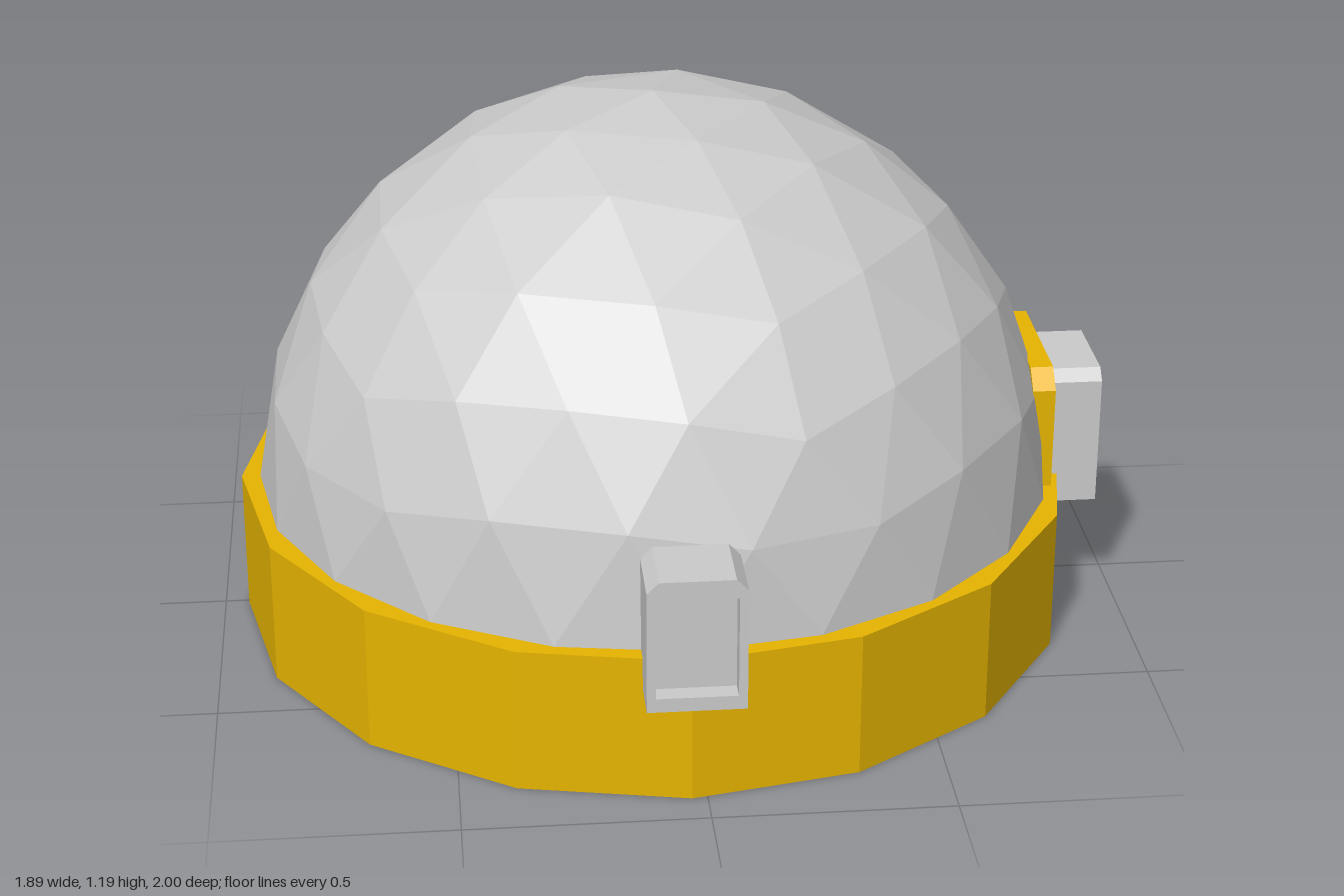
import * as THREE from 'three';

const grey = new THREE.MeshStandardMaterial({ color: 0xcccccc, flatShading: true });
const yellow = new THREE.MeshStandardMaterial({ color: 0xe6b400, flatShading: true, side: THREE.DoubleSide });
const CX = -0.032, CZ = 0.008, R = 0.875, RIM = 0.316;

function add(parent, name, geometry, material, x = 0, y = 0, z = 0) {
  const mesh = new THREE.Mesh(geometry, material);
  mesh.name = name;
  mesh.position.set(x, y, z);
  parent.add(mesh);
  return mesh;
}

// Upper half of a twice-subdivided icosahedron, one vertex at the apex
function domeGeometry() {
  const coarse = new THREE.IcosahedronGeometry(1, 1).getAttribute('position');
  const indices = Array.from({ length: coarse.count }, (_, i) => i);
  const ball = new THREE.PolyhedronGeometry(Array.from(coarse.array), indices, R, 1);
  ball.rotateX(-Math.atan2(1 + Math.sqrt(5), 2)).rotateY(Math.PI / 2);
  const p = ball.getAttribute('position').array, kept = [];
  for (let i = 0; i < p.length; i += 9) {
    if (p[i + 1] + p[i + 4] + p[i + 7] > 0.01) kept.push(...p.slice(i, i + 9));
  }
  const geometry = new THREE.BufferGeometry();
  geometry.setAttribute('position', new THREE.Float32BufferAttribute(kept, 3));
  geometry.computeVertexNormals();
  return geometry;
}

// Upright rectangle standing on y = 0 with its top corners cut off
function cutShape(w, h, c) {
  const a = w / 2;
  return new THREE.Shape([[-a, 0], [a, 0], [a, h - c], [a - c, h], [c - a, h], [-a, h - c]]
    .map(([x, y]) => new THREE.Vector2(x, y)));
}

// Box facing local +z with a recessed front
function housing(name, w, h, depth, sill, recessTop) {
  const group = new THREE.Group();
  group.name = name;
  const lip = 0.04, a = w / 2 - 0.018;
  add(group, name + 'Body', new THREE.ExtrudeGeometry(cutShape(w, h, 0.024),
    { depth: depth - lip, bevelEnabled: false }), grey);
  const frame = cutShape(w, h, 0.024);
  frame.holes.push(new THREE.Path([[-a, sill], [-a, recessTop], [a, recessTop], [a, sill]]
    .map(([x, y]) => new THREE.Vector2(x, y))));
  add(group, name + 'Frame', new THREE.ExtrudeGeometry(frame,
    { depth: lip, bevelEnabled: false }), grey, 0, 0, depth - lip);
  return group;
}

export function createModel() {
  const model = new THREE.Group();
  model.name = 'domeBuilding';

  // Ring wall, open underneath, with a floor at the foot of the dome
  add(model, 'baseRing', new THREE.CylinderGeometry(0.916, 0.916, RIM, 16, 1, true), yellow, CX, RIM / 2, CZ);
  const floor = add(model, 'floor', new THREE.CircleGeometry(0.916, 16), yellow, CX, RIM, CZ);
  floor.rotation.x = -Math.PI / 2;
  add(model, 'dome', domeGeometry(), grey, CX, RIM, CZ);

  // Front and back housings
  const front = housing('frontHousing', 0.2, 0.287, 0.152, 0.03, 0.247);
  front.position.set(-0.03, 0.248, 0.848);
  const back = housing('backHousing', 0.2, 0.287, 0.165, 0.03, 0.247);
  back.position.set(-0.075, 0.248, -0.835);
  back.rotation.y = Math.PI;
  model.add(front, back);

  // Doorway on the model's left: surround plate and housing
  const surround = add(model, 'doorSurround', new THREE.ExtrudeGeometry(cutShape(0.39, 0.275, 0.04),
    { depth: 0.05, bevelEnabled: false }), yellow, 0.78, 0.31, 0.018);
  surround.rotation.y = Math.PI / 2;
  const door = housing('doorHousing', 0.25, 0.313, 0.115, 0.025, 0.228);
  door.position.set(0.83, 0.248, 0.03);
  door.rotation.y = Math.PI / 2;
  model.add(door);

  // Small angled control panel on a post
  const panel = new THREE.Group();
  panel.name = 'controlPanel';
  panel.position.set(0.848, 0, -0.202);
  panel.rotation.y = THREE.MathUtils.degToRad(115);
  add(panel, 'panelHead', new THREE.ExtrudeGeometry(cutShape(0.155, 0.13, 0.008),
    { depth: 0.03, bevelThickness: 0.01, bevelSize: 0.01, bevelSegments: 1 }), grey, 0, 0.345, -0.015);
  add(panel, 'panelPost', new THREE.BoxGeometry(0.05, 0.15, 0.035), grey, 0, 0.27, 0.008);
  model.add(panel);

  // Pair of six-sided pipes bending from the dome down over the ring
  const pipes = new THREE.Group();
  pipes.name = 'pipes';
  pipes.position.set(CX, 0, CZ);
  pipes.rotation.y = THREE.MathUtils.degToRad(42.5);
  const path = new THREE.CatmullRomCurve3([[0.78, 0.342], [0.85, 0.34], [0.895, 0.312], [0.912, 0.26], [0.912, 0.165]]
    .map(([x, y]) => new THREE.Vector3(x, y, 0)));
  const hexagon = new THREE.Shape(Array.from({ length: 6 }, (_, i) =>
    new THREE.Vector2(0.052 * Math.cos(i * Math.PI / 3), 0.052 * Math.sin(i * Math.PI / 3))));
  for (const side of [-1, 1]) {
    add(pipes, side < 0 ? 'rearPipe' : 'forwardPipe', new THREE.ExtrudeGeometry(hexagon,
      { steps: 6, extrudePath: path, bevelEnabled: false }), grey, 0, 0, side * 0.053);
  }
  model.add(pipes);

  return model;
}
